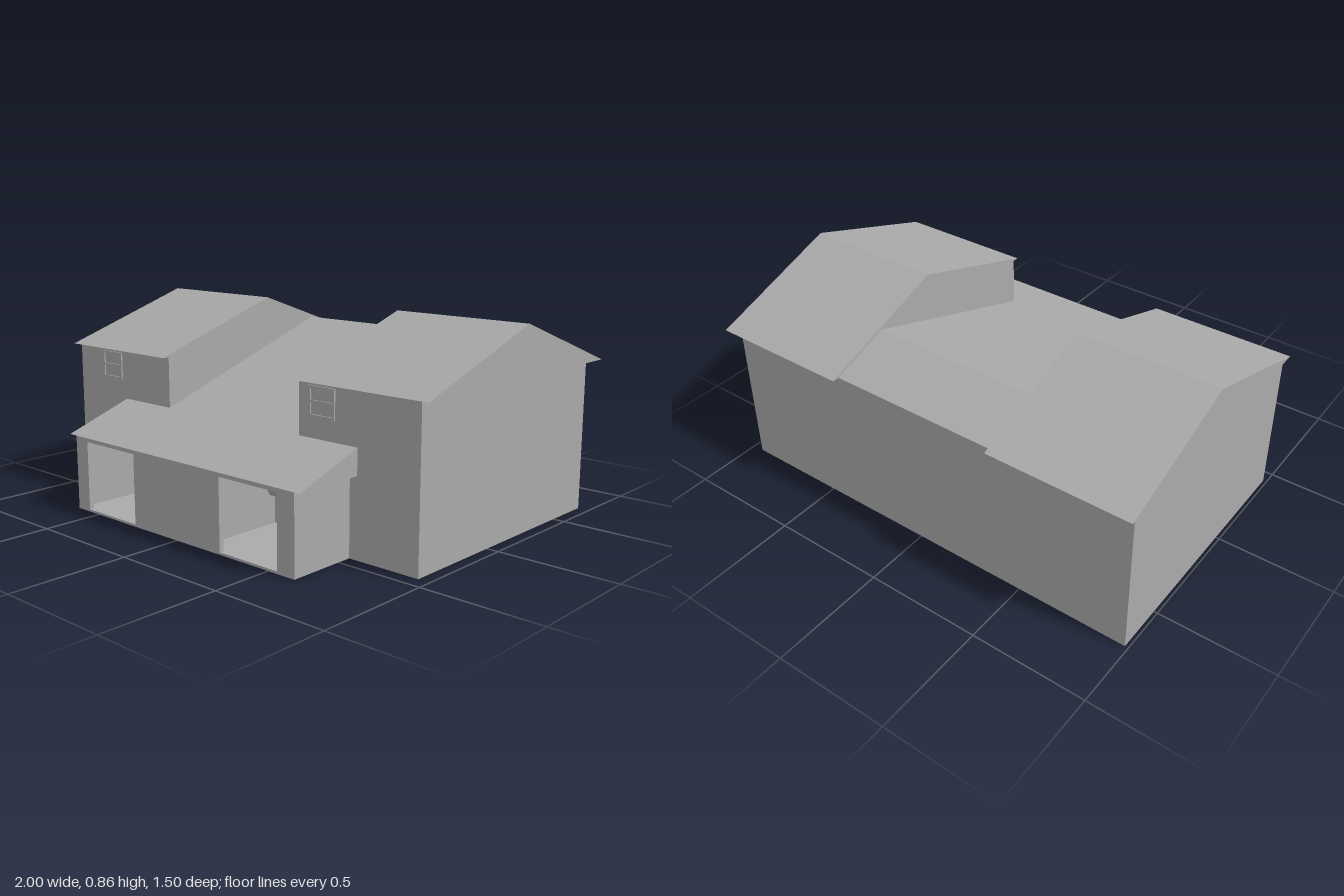
import * as THREE from 'three';

export function createModel() {
  const house = new THREE.Group();
  house.name = 'house';
  const grey = new THREE.MeshStandardMaterial({ color: 0xaaaaaa, side: THREE.DoubleSide });
  grey.name = 'plain grey';

  const add = (name, geometry) => {
    const mesh = new THREE.Mesh(geometry, grey);
    mesh.name = name;
    house.add(mesh);
    return mesh;
  };
  // Box given by its limits on each axis
  const block = (name, x0, x1, y0, y1, z0, z1) => {
    const g = new THREE.BoxGeometry(x1 - x0, y1 - y0, z1 - z0);
    g.translate((x0 + x1) / 2, (y0 + y1) / 2, (z0 + z1) / 2);
    return add(name, g);
  };
  const outline = (points) => new THREE.Shape(points.map(([a, b]) => new THREE.Vector2(a, b)));
  // Profile of [z, y] points extended from x0 to x1
  const profile = (name, points, x0, x1) => {
    const g = new THREE.ExtrudeGeometry(outline(points), { depth: x1 - x0, bevelEnabled: false });
    g.rotateY(-Math.PI / 2);
    g.translate(x1, 0, 0);
    return add(name, g);
  };
  // Flat panel of [x, y] points, with holes, from z0 to z1
  const panel = (name, points, holes, z0, z1) => {
    const shape = outline(points);
    holes.forEach((h) => shape.holes.push(outline(h)));
    const g = new THREE.ExtrudeGeometry(shape, { depth: z1 - z0, bevelEnabled: false });
    g.translate(0, 0, z0);
    return add(name, g);
  };
  const rect = (x0, x1, y0, y1) => [[x0, y0], [x1, y0], [x1, y1], [x0, y1]];

  // Main outer walls, open underneath
  const t = 0.03, left = 0.95, right = -0.985, back = -0.71, front = 0.44, eave = 0.65;
  block('backWall', right, left, 0, eave, back, back + t);
  block('leftWall', left - t, left, 0, eave, back + t, front);
  block('rightWall', right, right + t, 0, eave, back + t, front);
  panel('leftFrontWall',
    [[0.63, 0], [left - t, 0], [left - t, eave], [0.375, eave], [0.375, 0.42], [0.63, 0.42]], [], front - t, front);
  panel('rightFrontWall',
    [[right + t, 0], [-0.635, 0], [-0.635, 0.42], [-0.375, 0.42], [-0.375, eave], [right + t, eave]], [], front - t, front);

  for (const s of [-1, 1]) {
    const side = s > 0 ? 'left' : 'right';
    const span = (a, b) => (s > 0 ? [a, b] : [-b, -a]);
    // Gabled wing roof
    profile(side + 'WingRoof', [[0.47, eave], [-0.16, 0.857], [-0.75, eave]], ...span(0.375, 1));
    // Wall between the middle roof and the wing
    profile(side + 'WingInnerWall', [[front, 0.42], [front, eave], [-0.23, eave]], ...span(0.375, 0.395));
  }

  // Middle roof: long front slope and short back slope
  profile('middleRoof', [
    [front, 0.432], [-0.46, 0.74], [-0.72, eave], [-0.72, 0.64], [-0.46, 0.725], [front, 0.417],
  ], -0.375, 0.375);
  // Porch roof carries the front slope on
  profile('porchRoof', [[0.75, 0.325], [front, 0.432], [front, 0.325]], -0.665, 0.665);

  // Porch walls with two openings
  panel('porchFrontWall', rect(-0.635, 0.63, 0, 0.325),
    [rect(-0.56, -0.255, 0.01, 0.305), rect(0.245, 0.545, 0.01, 0.305)], 0.72, 0.74);
  block('porchLeftWall', 0.61, 0.63, 0, 0.325, front - t, 0.72);
  block('porchRightWall', -0.635, -0.615, 0, 0.325, front - t, 0.72);

  // Two bays behind the openings, each with a floor, back and sides
  const bay = (name, x0, x1, z0) => {
    block(name + 'Floor', x0, x1, 0, 0.008, z0, 0.72);
    block(name + 'BackWall', x0, x1, 0.008, 0.325, z0, z0 + 0.012);
    for (const x of [x0, x1 - 0.012]) block(name + 'SideWall', x, x + 0.012, 0.008, 0.325, z0 + 0.012, 0.72);
    block(name + 'Ceiling', x0, x1, 0.318, 0.325, z0, front);
  };
  bay('leftBay', 0.13, 0.62, 0.32);
  bay('rightBay', -0.63, -0.18, 0.29);
  // Tilted panel inside the left bay
  profile('tiltedPanel', [[0.44, 0.25], [0.37, 0.135], [0.34, 0.135], [0.34, 0.305]], 0.15, 0.605);

  // Small upper windows: frame and middle rail
  for (const [name, x0, x1] of [['leftWindow', 0.427, 0.557], ['rightWindow', -0.82, -0.69]]) {
    const y0 = 0.515, y1 = 0.635, w = 0.01;
    panel(name + 'Frame', rect(x0, x1, y0, y1),
      [rect(x0 + w, x1 - w, y0 + w, y1 - w)], front, front + 0.006);
    block(name + 'Rail', x0 + w, x1 - w, 0.57, 0.58, front, front + 0.006);
  }

  return house;
}
